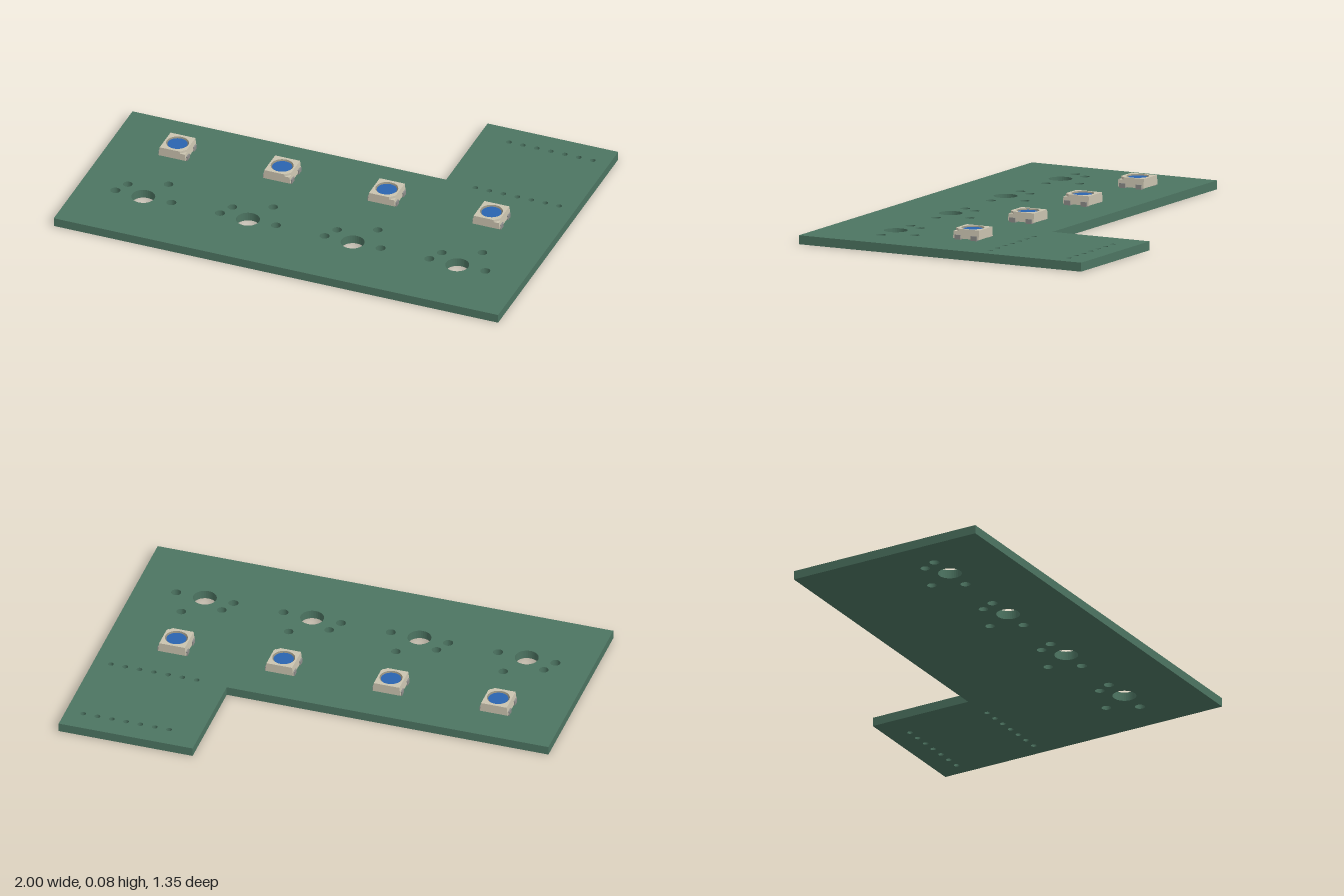
import * as THREE from 'three';

const mat = (color, extra = {}) => new THREE.MeshStandardMaterial({ color, ...extra });
const green = mat(0x4d7562), cream = mat(0xcbc4b0), blue = mat(0x2a64b0), metal = mat(0x8f8f8c);
const rim = mat(0x8c8878, { side: THREE.DoubleSide });

const TOP = 0.038;      // board thickness
const PITCH = 0.471;    // spacing of the four key positions

function add(parent, name, geometry, material, x = 0, y = 0, z = 0) {
  const mesh = new THREE.Mesh(geometry, material);
  mesh.name = name;
  mesh.position.set(x, y, z);
  parent.add(mesh);
  return mesh;
}

function addHole(shape, x, y, r) {
  shape.holes.push(new THREE.Path().absarc(x, y, r, 0, Math.PI * 2, true));
}

const polygon = (pts) => new THREE.Shape(pts.map(([x, y]) => new THREE.Vector2(x, y)));

// Extrude a plan outline (shape y = -z) upward from y = 0
function slab(shape, height) {
  const g = new THREE.ExtrudeGeometry(shape, { depth: height, bevelEnabled: false, curveSegments: 16 });
  return g.rotateX(-Math.PI / 2);
}

function boardGeometry() {
  const s = polygon([[-1, -0.675], [1, -0.675], [1, 0.675], [0.412, 0.675], [0.412, 0.21], [-1, 0.21]]);
  // Switch holes: centre post, two side posts, two contact pins
  for (let i = 0; i < 4; i++) {
    const x = -0.715 + i * PITCH, y = -0.38;
    addHole(s, x, y, 0.05);
    addHole(s, x - 0.126, y, 0.021);
    addHole(s, x + 0.126, y, 0.021);
    addHole(s, x - 0.095, y + 0.063, 0.02);
    addHole(s, x + 0.063, y + 0.126, 0.02);
  }
  // Two rows of header pin holes
  for (let i = 0; i < 7; i++) {
    for (const y of [0.575, 0.198]) addHole(s, 0.548 + i * 0.0628, y, 0.012);
  }
  return slab(s, TOP);
}

// Light: tapered housing, recessed lens, four bent legs. Base at y = 0.
function createLight() {
  const light = new THREE.Group();
  light.name = 'light';
  const h = 0.061, base = 0.005, mid = 0.035, top = 0.045;

  // Narrow the housing in x toward its top
  const taper = (g, y0) => {
    const p = g.attributes.position;
    for (let i = 0; i < p.count; i++) {
      const t = (p.getY(i) + y0 - base) / (top - base);
      if (Math.abs(p.getX(i)) > 0.05 || Math.abs(p.getZ(i)) > 0.055) p.setX(i, p.getX(i) * (1 - 0.08 * t));
    }
    g.computeVertexNormals();
    return g;
  };
  const lower = polygon([[-h, -h], [h, -h], [h, h], [-h, h]]);
  add(light, 'housingLower', taper(slab(lower, mid - base), base), cream, 0, base);

  // Upper layer has a marked corner and the round lens opening
  const c = 0.024;
  const upper = polygon([[-h, -h], [h - c, -h], [h, -h + c], [h, h], [-h, h]]);
  addHole(upper, 0, 0, 0.048);
  add(light, 'housingUpper', taper(slab(upper, top - mid), mid), cream, 0, mid);

  const bowl = [[0.042, 0.039], [0.048, top]].map(([r, y]) => new THREE.Vector2(r, y));
  add(light, 'lensRim', new THREE.LatheGeometry(bowl, 32), rim);
  add(light, 'lens', new THREE.CircleGeometry(0.0425, 32).rotateX(-Math.PI / 2), blue, 0, 0.0395);

  // Legs leave the sides, drop down and fold under the housing
  for (const side of [-1, 1]) {
    for (const z of [-0.039, 0.039]) {
      const leg = new THREE.Group();
      leg.name = 'leg';
      add(leg, 'legShoulder', new THREE.BoxGeometry(0.01, 0.004, 0.028), metal, side * 0.06, 0.018, z);
      add(leg, 'legDrop', new THREE.BoxGeometry(0.004, 0.019, 0.028), metal, side * 0.063, 0.0097, z);
      add(leg, 'legFoot', new THREE.BoxGeometry(0.026, 0.005, 0.028), metal, side * 0.052, 0.0027, z);
      light.add(leg);
    }
  }
  return light;
}

export function createModel() {
  const model = new THREE.Group();
  model.name = 'circuitBoard';
  add(model, 'board', boardGeometry(), green);
  for (let i = 0; i < 4; i++) {
    const light = createLight();
    light.position.set(-0.71 + i * PITCH, TOP, 0.008);
    model.add(light);
  }
  return model;
}
